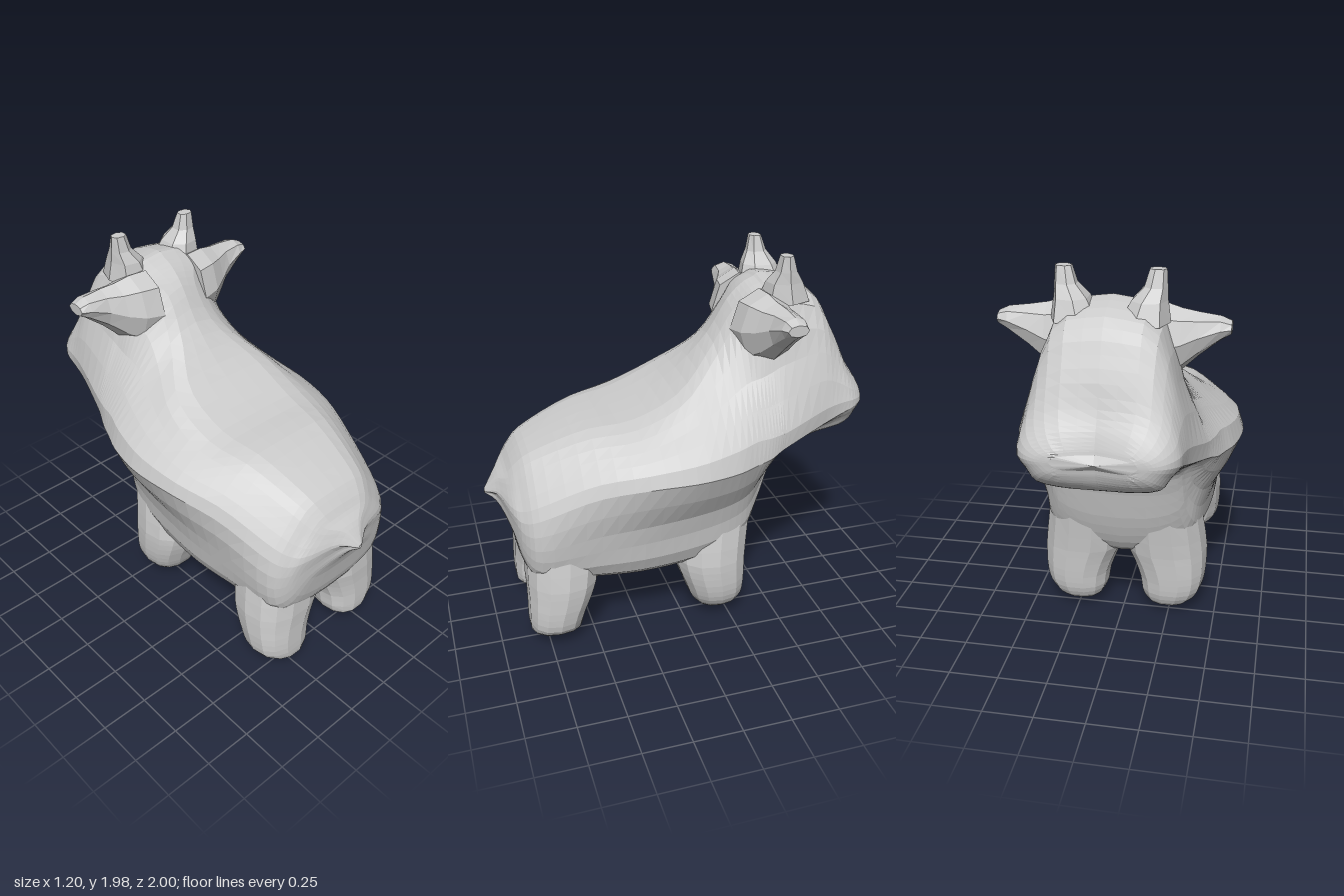
import * as THREE from 'three';

const material = new THREE.MeshStandardMaterial({ color: 0xcccccc, flatShading: true, side: THREE.DoubleSide });

// Skin a list of equal-length closed rings and cap both ends.
function loft(name, rings) {
  const n = rings[0].length, last = rings.length - 1, pos = [], idx = [];
  const put = (p) => pos.push(p.x, p.y, p.z);
  const middle = (ring) => ring.reduce((s, p) => s.add(p), new THREE.Vector3()).divideScalar(n);
  rings.forEach((ring) => ring.forEach(put));
  put(middle(rings[0]));
  put(middle(rings[last]));
  const c0 = n * rings.length, c1 = c0 + 1;
  for (let j = 0; j < n; j++) {
    const k = (j + 1) % n;
    for (let i = 0; i < last; i++) {
      const a = i * n + j, b = i * n + k;
      idx.push(a, b, a + n, b, b + n, a + n);
    }
    idx.push(c0, k, j, c1, last * n + j, last * n + k);
  }
  const geo = new THREE.BufferGeometry();
  geo.setAttribute('position', new THREE.Float32BufferAttribute(pos, 3));
  geo.setIndex(idx);
  geo.computeVertexNormals();
  const mesh = new THREE.Mesh(geo, material);
  mesh.name = name;
  return mesh;
}

// Smooth a set of sections lengthwise with a spline through each matching point.
function smooth(sections, steps) {
  const rails = sections[0].map((_, k) =>
    new THREE.CatmullRomCurve3(sections.map((s) => s[k]), false, 'catmullrom', 0.5));
  return Array.from({ length: steps + 1 }, (_, i) => rails.map((r) => r.getPoint(i / steps)));
}

// Left and right copies of a lofted limb.
function pair(group, name, rings) {
  const mirrored = rings.map((r) => r.map((p) => new THREE.Vector3(-p.x, p.y, p.z)).reverse());
  group.add(loft('left' + name, rings), loft('right' + name, mirrored));
}

// Rounded rings stacked downwards: [y, centre x, centre z, radius x, radius z]
function downRings(rows, sides) {
  const soft = (v) => Math.sign(v) * Math.pow(Math.abs(v), 0.85);
  return rows.map(([y, cx, cz, rx, rz]) => Array.from({ length: sides }, (_, j) => {
    const a = (j / sides) * Math.PI * 2;
    return new THREE.Vector3(cx + rx * soft(Math.cos(a)), y, cz + rz * soft(Math.sin(a)));
  }));
}

// Trunk, neck and head: [z, top y, upper half-width, widest half-width, its y, lower half-width, bottom y]
const trunk = [
  [1.0, 0.805, 0.007, 0.01, 0.79, 0.006, 0.78],
  [0.94, 0.89, 0.08, 0.11, 0.82, 0.06, 0.725],
  [0.89, 0.94, 0.2, 0.27, 0.79, 0.24, 0.62],
  [0.845, 1.0, 0.25, 0.34, 0.78, 0.35, 0.43],
  [0.76, 1.07, 0.3, 0.4, 0.82, 0.42, 0.345],
  [0.5, 1.17, 0.38, 0.48, 0.94, 0.45, 0.3],
  [0.25, 1.21, 0.45, 0.565, 1.0, 0.47, 0.28],
  [0, 1.33, 0.43, 0.6, 1.02, 0.46, 0.29],
  [-0.2, 1.52, 0.37, 0.575, 1.03, 0.44, 0.33],
  [-0.32, 1.71, 0.34, 0.535, 1.04, 0.41, 0.4],
  [-0.4, 1.79, 0.34, 0.51, 1.04, 0.37, 0.58],
  [-0.46, 1.82, 0.34, 0.485, 1.05, 0.36, 0.82],
  [-0.52, 1.84, 0.345, 0.46, 1.06, 0.36, 0.94],
  [-0.72, 1.78, 0.335, 0.4, 1.12, 0.32, 0.985],
  [-0.82, 1.61, 0.33, 0.385, 1.16, 0.32, 1.0],
  [-0.9, 1.42, 0.33, 0.375, 1.19, 0.33, 1.025],
  [-0.96, 1.325, 0.3, 0.335, 1.2, 0.3, 1.075],
  [-0.99, 1.265, 0.25, 0.275, 1.2, 0.25, 1.125],
  [-1.0, 1.235, 0.19, 0.2, 1.2, 0.18, 1.16],
];

function trunkRings() {
  const bump = (z, at, spread) => Math.exp(-(((z - at) / spread) ** 2));
  const sections = trunk.map(([z, top, up, w, ym, low, bot]) => {
    const h = top - ym, d = ym - bot;
    // the neck narrows to a crest and its sides turn hollow
    const crest = up * (0.65 - 0.36 * bump(z, -0.27, 0.12));
    const share = 0.55 - 0.11 * bump(z, -0.4, 0.2);
    return [
      [0, top], [crest, top - h * 0.07], [up, ym + h * share], [w, ym],
      [low, ym - d * 0.45], [low * 0.88, ym - d * 0.8], [low * 0.5, bot + d * 0.04], [0, bot],
    ].map(([x, y]) => new THREE.Vector3(x, y, z));
  });
  return smooth(sections, 60).map((half) => {
    const side = new THREE.CatmullRomCurve3(half).getPoints(18);
    side.forEach((p) => {
      // cleft in the middle of the muzzle
      if (p.z < -0.85) p.z += 0.04 * Math.max(0, 1 - Math.abs(p.x) / 0.18) * (-0.85 - p.z) / 0.15;
    });
    const other = side.slice(1, -1).reverse().map((p) => new THREE.Vector3(-p.x, p.y, p.z));
    return [...side, ...other];
  });
}

export function createModel() {
  const model = new THREE.Group();
  model.name = 'cow';
  model.add(loft('bodyAndHead', trunkRings()));

  // Legs, flaring upwards into the belly
  pair(model, 'HindLeg', smooth(downRings([
    [0.75, 0.2, 0.62, 0.19, 0.2],
    [0.42, 0.22, 0.65, 0.22, 0.195],
    [0.3, 0.245, 0.668, 0.2, 0.177],
    [0.2, 0.262, 0.692, 0.178, 0.155],
    [0.11, 0.258, 0.705, 0.162, 0.142],
    [0.05, 0.24, 0.7, 0.11, 0.13],
    [0.0, 0.23, 0.7, 0.01, 0.01],
  ], 14), 14));
  pair(model, 'FrontLeg', smooth(downRings([
    [0.75, 0.2, -0.2, 0.19, 0.21],
    [0.42, 0.22, -0.165, 0.22, 0.205],
    [0.3, 0.245, -0.17, 0.2, 0.19],
    [0.2, 0.26, -0.185, 0.178, 0.168],
    [0.12, 0.255, -0.195, 0.16, 0.148],
    [0.06, 0.245, -0.2, 0.12, 0.115],
    [0.03, 0.24, -0.2, 0.06, 0.07],
  ], 14), 14));

  // Horns
  pair(model, 'Horn', downRings([
    [1.98, 0.217, -0.55, 0.04, 0.032],
    [1.9, 0.207, -0.555, 0.055, 0.055],
    [1.84, 0.18, -0.56, 0.085, 0.095],
    [1.74, 0.16, -0.57, 0.12, 0.13],
  ], 7));

  // Ears: [x, centre y, centre z, half-height, half-depth]
  pair(model, 'Ear', [
    [0.14, 1.6, -0.44, 0.2, 0.15],
    [0.24, 1.61, -0.45, 0.19, 0.14],
    [0.32, 1.63, -0.465, 0.15, 0.11],
    [0.4, 1.665, -0.48, 0.105, 0.085],
    [0.5, 1.7, -0.485, 0.058, 0.07],
    [0.55, 1.705, -0.485, 0.03, 0.055],
  ].map(([x, y, z, h, d]) => Array.from({ length: 8 }, (_, j) => {
    const a = (j / 8) * Math.PI * 2;
    return new THREE.Vector3(x, y + h * Math.cos(a), z + d * Math.sin(a));
  })));

  return model;
}
